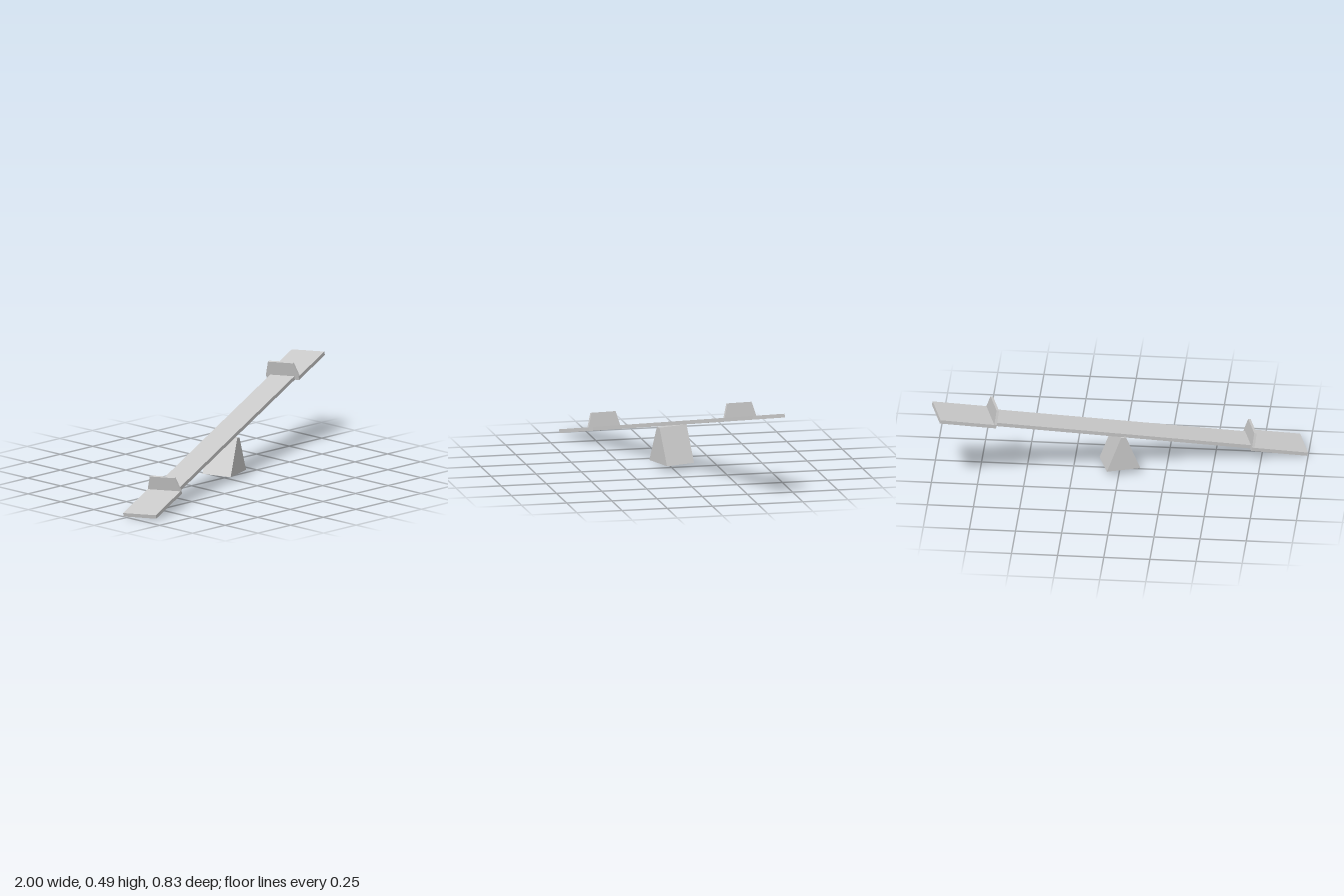
import * as THREE from 'three';

const material = new THREE.MeshStandardMaterial({ color: 0xcccccc, flatShading: true });

// Box standing on y = 0 whose top is scaled in x and z
function taperedBox(name, w, h, d, topX = 1, topZ = 1) {
  const geo = new THREE.BoxGeometry(w, h, d).translate(0, h / 2, 0);
  const p = geo.attributes.position;
  for (let i = 0; i < p.count; i++) {
    if (p.getY(i) > h / 2) {
      p.setX(i, p.getX(i) * topX);
      p.setZ(i, p.getZ(i) * topZ);
    }
  }
  geo.computeVertexNormals();
  const mesh = new THREE.Mesh(geo, material);
  mesh.name = name;
  return mesh;
}

export function createModel() {
  const model = new THREE.Group();
  model.name = 'seesaw';

  // Wedge-shaped support, standing level
  const support = taperedBox('support', 0.186, 0.198, 0.17, 0.15, 1);
  support.position.y = 0.035;
  support.rotation.y = THREE.MathUtils.degToRad(18.2);
  model.add(support);

  // Tilted beam assembly: x along the plank, y out of its top, z across
  const beam = new THREE.Group();
  beam.name = 'beam';
  const along = new THREE.Vector3(0.927, 0.219, -0.305).normalize();
  const up = new THREE.Vector3(0.303, 0.05, 0.949).cross(along).normalize();
  const across = along.clone().cross(up);
  beam.quaternion.setFromRotationMatrix(new THREE.Matrix4().makeBasis(along, up, across));
  beam.position.set(0.002, 0.235, -0.002);
  model.add(beam);

  const thick = 0.0205, half = 1.044, inner = 0.725;
  beam.add(taperedBox('plank', inner * 2, thick, 0.146));

  // Wide seat and tapered upright at each end
  for (const [side, s] of [['left', 1], ['right', -1]]) {
    const seat = taperedBox(side + 'Seat', half - inner, thick, 0.198);
    seat.position.x = s * (half + inner) / 2;
    const upright = taperedBox(side + 'Upright', 0.014, 0.077, 0.198, 1, 0.76);
    upright.position.set(s * (inner + 0.007), thick, 0);
    beam.add(seat, upright);
  }
  return model;
}
